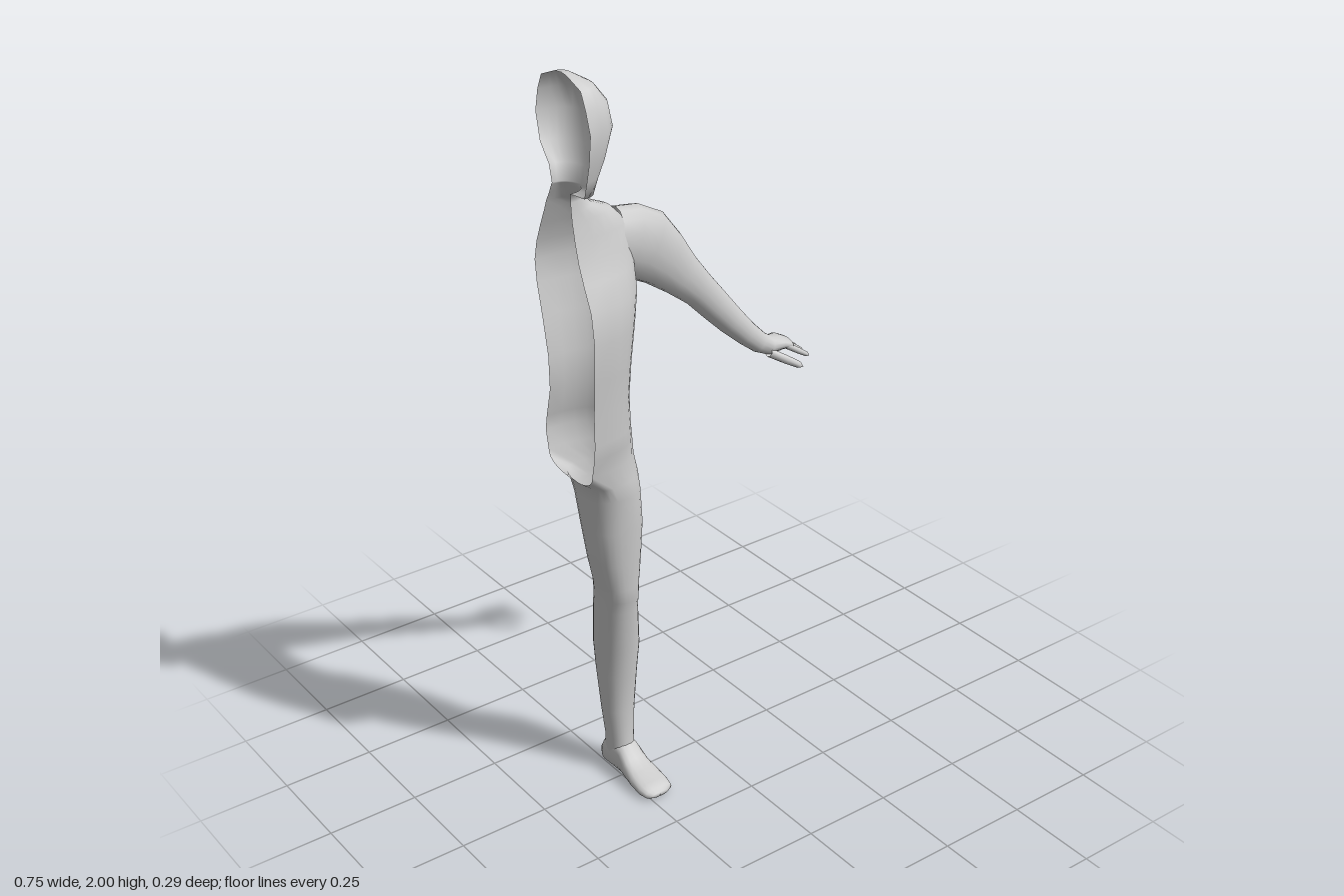
import * as THREE from 'three';

const MID = -0.375; // plane on which the half figure is open
const material = new THREE.MeshStandardMaterial({ color: 0xcccccc, side: THREE.DoubleSide });

// Skin rings of equal point count; skip(r, k) leaves a quad out
function loft(name, rings, skip = () => false) {
  const n = rings[0].length, index = [];
  for (let r = 0; r < rings.length - 1; r++) {
    for (let k = 0; k < n; k++) {
      if (skip(r, k)) continue;
      const k2 = (k + 1) % n;
      const a = r * n + k, b = r * n + n + k, c = r * n + k2, d = r * n + n + k2;
      index.push(a, b, c, c, b, d);
    }
  }
  const geometry = new THREE.BufferGeometry();
  geometry.setAttribute('position', new THREE.Float32BufferAttribute(rings.flat(2), 3));
  geometry.setIndex(index);
  geometry.computeVertexNormals();
  const mesh = new THREE.Mesh(geometry, material);
  mesh.name = name;
  return mesh;
}

// Limb through stations [x, y, z, radius across, radius along z]
function limb(name, stations, sides = 12) {
  const rings = stations.map(([x, y, z, rn, rz], i) => {
    const p = stations[Math.max(i - 1, 0)], q = stations[Math.min(i + 1, stations.length - 1)];
    const dx = q[0] - p[0], dy = q[1] - p[1], len = Math.hypot(dx, dy);
    return Array.from({ length: sides }, (_, k) => {
      const t = -2 * Math.PI * k / sides, c = Math.cos(t) * rn;
      return [x - dy / len * c, y + dx / len * c, z + Math.sin(t) * rz];
    });
  });
  return loft(name, rings);
}

// Horizontal body ring, from the front round the outer side to the back, then the inner side
const HALF = 14;
function bodyRing([y, x0, x1, zf, zb, p = 0.85, cx = x0 === MID ? MID : (x0 + x1) / 2, sag = 0]) {
  return Array.from({ length: HALF * 2 }, (_, k) => {
    const t = Math.PI * k / HALF;
    const s = k % HALF === 0 ? 0 : Math.pow(Math.abs(Math.sin(t)), p);
    const c = Math.sign(Math.cos(t)) * Math.pow(Math.abs(Math.cos(t)), p);
    const inner = k > HALF;
    return [
      inner ? cx - (cx - x0) * s : cx + (x1 - cx) * s,
      y - (inner ? sag * s : 0),
      (zf + zb) / 2 + (zf - zb) / 2 * c,
    ];
  });
}

export function createModel() {
  const group = new THREE.Group();
  group.name = 'halfFigure';

  // Half head, neck and trunk: [y, inner x, outer x, front z, back z, squareness]
  const trunk = [
    [2.0, MID, -0.374, 0.001, -0.001],
    [1.997, MID, -0.35, 0.02, -0.03],
    [1.975, MID, -0.312, 0.075, -0.085, 0.7],
    [1.935, MID, -0.282, 0.093, -0.103, 0.7],
    [1.88, MID, -0.277, 0.11, -0.115, 0.7],
    [1.81, MID, -0.297, 0.102, -0.1, 0.75],
    [1.765, MID, -0.313, 0.091, -0.065, 0.85],
    [1.722, MID, -0.325, 0.079, -0.055],
    [1.717, MID, -0.328, 0.021, -0.058],
    [1.695, MID, -0.315, 0.021, -0.068],
    [1.67, MID, -0.293, 0.023, -0.082],
    [1.645, MID, -0.235, 0.026, -0.092],
    [1.6, MID, -0.19, 0.035, -0.112],
    [1.55, MID, -0.178, 0.048, -0.132],
    [1.5, MID, -0.178, 0.068, -0.143],
    [1.44, MID, -0.186, 0.095, -0.137],
    [1.36, MID, -0.205, 0.106, -0.118],
    [1.26, MID, -0.22, 0.102, -0.098],
    [1.17, MID, -0.225, 0.096, -0.096],
    [1.09, MID, -0.218, 0.096, -0.115],
    [1.05, MID, -0.211, 0.092, -0.122],
    [1.0, MID, -0.203, 0.081, -0.112, 0.85, MID, 0.042],
  ];
  // Leg rings carry on from the crotch
  const leg = [
    [0.945, -0.36, -0.194, 0.076, -0.096, 0.9, -0.31],
    [0.9, -0.352, -0.19, 0.071, -0.09, 0.9],
    [0.8, -0.339, -0.183, 0.065, -0.081, 0.9],
    [0.7, -0.322, -0.188, 0.058, -0.077, 0.9],
    [0.62, -0.303, -0.195, 0.053, -0.077, 0.9],
    [0.58, -0.297, -0.195, 0.05, -0.082, 0.9],
    [0.54, -0.295, -0.189, 0.037, -0.089, 0.9],
    [0.41, -0.288, -0.173, 0.022, -0.109, 0.95],
    [0.32, -0.281, -0.176, 0.008, -0.104, 0.95],
    [0.2, -0.272, -0.183, -0.004, -0.09, 0.95],
    [0.11, -0.263, -0.19, -0.002, -0.083, 0.95],
    [0.05, -0.263, -0.19, 0.004, -0.085, 0.95],
  ];
  group.add(loft('bodyAndLeg', [...trunk, ...leg].map(bodyRing),
    (r, k) => k >= HALF && r < trunk.length - 1));

  // Foot sections from heel to toe: [z, bottom, top, inner x, outer x]
  const footSections = [
    [-0.098, 0.03, 0.034, -0.23, -0.22],
    [-0.094, 0.012, 0.06, -0.253, -0.198],
    [-0.075, 0.005, 0.09, -0.264, -0.188],
    [-0.035, 0.005, 0.105, -0.264, -0.187],
    [0.0, 0.007, 0.095, -0.263, -0.188],
    [0.03, 0.009, 0.068, -0.266, -0.185],
    [0.07, 0.006, 0.05, -0.271, -0.179],
    [0.11, 0.004, 0.04, -0.272, -0.178],
    [0.132, 0.004, 0.032, -0.265, -0.181],
    [0.142, 0.009, 0.022, -0.25, -0.2],
    [0.143, 0.014, 0.016, -0.226, -0.224],
  ];
  group.add(loft('foot', footSections.map(([z, y0, y1, x0, x1]) =>
    Array.from({ length: 16 }, (_, k) => {
      const t = -Math.PI * k / 8, soft = (v) => Math.sign(v) * Math.pow(Math.abs(v), 0.8);
      return [
        (x0 + x1) / 2 + (x1 - x0) / 2 * soft(Math.cos(t)),
        (y0 + y1) / 2 + (y1 - y0) / 2 * soft(Math.sin(t)),
        z,
      ];
    }))));

  // Arm with shoulder and palm
  group.add(limb('arm', [
    [-0.225, 1.545, -0.042, 0.085, 0.06],
    [-0.175, 1.535, -0.039, 0.092, 0.056],
    [-0.125, 1.51, -0.037, 0.091, 0.048],
    [-0.075, 1.465, -0.037, 0.075, 0.044],
    [-0.02, 1.408, -0.038, 0.058, 0.037],
    [0.035, 1.353, -0.039, 0.047, 0.034],
    [0.09, 1.293, -0.043, 0.043, 0.034],
    [0.14, 1.238, -0.042, 0.038, 0.033],
    [0.19, 1.187, -0.038, 0.032, 0.026],
    [0.232, 1.15, -0.036, 0.028, 0.022],
    [0.262, 1.134, -0.037, 0.026, 0.029],
    [0.295, 1.134, -0.04, 0.02, 0.036],
    [0.32, 1.127, -0.04, 0.013, 0.037],
    [0.328, 1.122, -0.04, 0.002, 0.03],
  ], 16));

  // Digits, each from base to tip
  const digit = (name, a, b, r) => {
    const at = (t, s) => [0, 1, 2].map((i) => a[i] + (b[i] - a[i]) * t).concat(r * s, r * s);
    group.add(limb(name, [at(0, 1), at(0.5, 0.95), at(0.88, 0.75), at(1, 0.05)], 8));
  };
  digit('indexFinger', [0.305, 1.128, -0.013], [0.367, 1.09, 0.006], 0.0085);
  digit('middleFinger', [0.31, 1.13, -0.032], [0.374, 1.088, -0.029], 0.0085);
  digit('ringFinger', [0.31, 1.13, -0.05], [0.375, 1.09, -0.057], 0.008);
  digit('littleFinger', [0.305, 1.13, -0.066], [0.361, 1.1, -0.084], 0.0075);
  digit('thumb', [0.25, 1.122, -0.018], [0.322, 1.082, 0.036], 0.012);

  return group;
}
